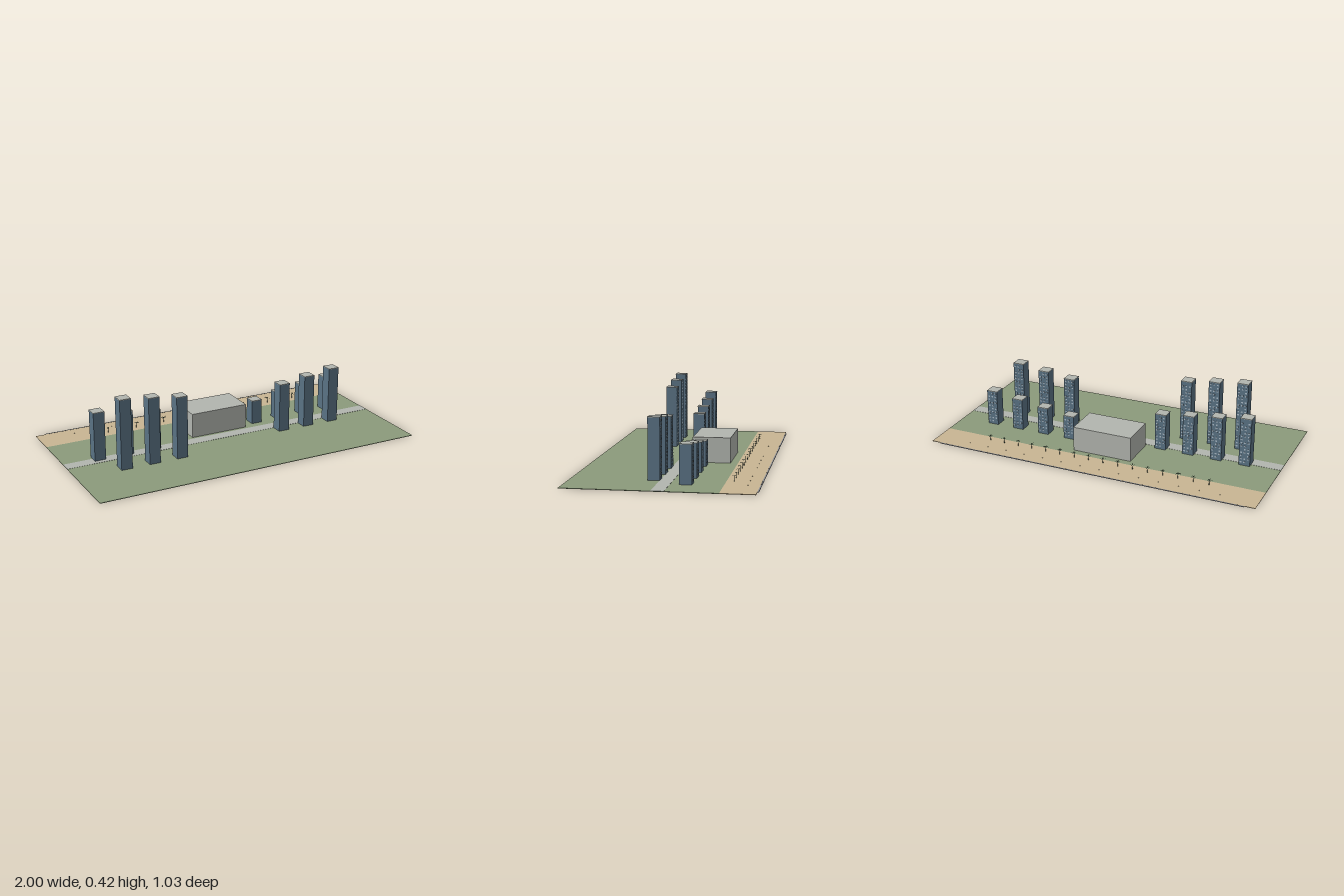
import * as THREE from 'three';

export function createModel() {
  const model = new THREE.Group();
  model.name = 'beachfrontDistrict';

  const mat = (name, color, double) => {
    const m = new THREE.MeshStandardMaterial({ color });
    m.name = name;
    if (double) m.side = THREE.DoubleSide;
    return m;
  };
  const grass = mat('grass', 0x8b9a7b);
  const sand = mat('sand', 0xc8b593);
  const concrete = mat('concrete', 0xb2b5af);
  const glass = mat('blueGlass', 0x5a7284);
  const pale = mat('paleWindow', 0xa9bac6);
  const palm = mat('palmGreen', 0x3f5040, true);
  const stone = mat('greyStone', 0x8b8d92);

  // Box given by its centre in x and z and by its bottom in y
  const box = (parent, name, material, w, h, d, x, y, z) => {
    const mesh = new THREE.Mesh(new THREE.BoxGeometry(w, h, d), material);
    mesh.position.set(x, y + h / 2, z);
    mesh.name = name;
    parent.add(mesh);
    return mesh;
  };

  // Ground, beach and road
  box(model, 'lawn', grass, 2, 0.003, 0.837, 0, 0, 0.0965);
  box(model, 'beach', sand, 2, 0.003, 0.188, 0, 0, -0.416);
  box(model, 'road', concrete, 2, 0.001, 0.07, 0, 0.003, -0.005);

  // Low wide hall in the middle
  box(model, 'hall', concrete, 0.36, 0.147, 0.22, 0, 0.003, -0.17);

  // Tower with a thin roof slab and rows of windows towards the beach
  const W = 0.067;
  const addTower = (x, z, top) => {
    const tower = new THREE.Group();
    tower.name = 'tower';
    tower.position.set(x, 0, z);
    box(tower, 'towerBody', glass, W, top - 0.007, W, 0, 0.003, 0);
    box(tower, 'towerRoof', concrete, W + 0.001, 0.004, W + 0.001, 0, top - 0.004, 0);
    for (let y = 0.02, row = 0; y < top - 0.018; y += 0.02, row++) {
      for (let i = 0; i < 3; i++) {
        if ((row * 2 + i) % 5 === 0) continue;
        box(tower, 'window', pale, 0.01, 0.008, 0.002, (i - 1) * 0.021, y, -W / 2 - 0.0005);
      }
    }
    model.add(tower);
  };

  // Each side has seven towers that alternate between a back and a front row
  const rows = [
    { x0: -0.79, back: -0.032, front: 0.152, tops: [0.295, 0.42, 0.27, 0.4, 0.247, 0.375, 0.225] },
    { x0: 0.273, back: -0.123, front: 0.062, tops: [0.15, 0.3, 0.173, 0.323, 0.197, 0.345, 0.22] },
  ];
  for (const { x0, back, front, tops } of rows) {
    tops.forEach((top, i) => addTower(x0 + i * 0.0857, i % 2 ? front : back, top));
  }

  // Palm trees: thin trunk and a crown of narrow drooping fronds
  const trunkGeo = new THREE.CylinderGeometry(0.001, 0.0018, 0.031, 6);
  const frondGeo = new THREE.PlaneGeometry(0.018, 0.0035, 3, 1);
  frondGeo.rotateX(-Math.PI / 2);
  frondGeo.translate(0.009, 0, 0);
  const p = frondGeo.attributes.position;
  for (let i = 0; i < p.count; i++) {
    const t = p.getX(i) / 0.018;
    p.setY(i, 0.003 * t * (1 - 1.4 * t));
    p.setZ(i, p.getZ(i) * (1 - 0.7 * t));
  }
  frondGeo.computeVertexNormals();
  for (let n = 0; n < 16; n++) {
    const tree = new THREE.Group();
    tree.name = 'palmTree';
    tree.position.set(-0.687 + n * 0.0916, 0.003, -0.363);
    const trunk = new THREE.Mesh(trunkGeo, palm);
    trunk.name = 'palmTrunk';
    trunk.position.y = 0.0155;
    tree.add(trunk);
    for (let i = 0; i < 8; i++) {
      const frond = new THREE.Mesh(frondGeo, palm);
      frond.name = 'palmFrond';
      frond.position.y = 0.031;
      frond.rotation.y = (i * Math.PI) / 4;
      tree.add(frond);
    }
    model.add(tree);
  }

  // Tiny sunshades on the beach
  const shadeGeo = new THREE.ConeGeometry(0.003, 0.003, 8);
  for (let i = 0; i < 14; i++) {
    const shade = new THREE.Mesh(shadeGeo, sand);
    shade.name = 'sunshade';
    shade.position.set(-0.78 + i * 0.12, 0.0045, -0.445);
    model.add(shade);
  }

  // Row of low stones along the waterline
  const count = 48;
  const step = 1.88 / count;
  for (let i = 0; i < count; i++) {
    box(model, 'shoreStone', stone, step * 0.94, 0.003, 0.008, -0.94 + (i + 0.5) * step, 0.0005, -0.514);
  }

  return model;
}
